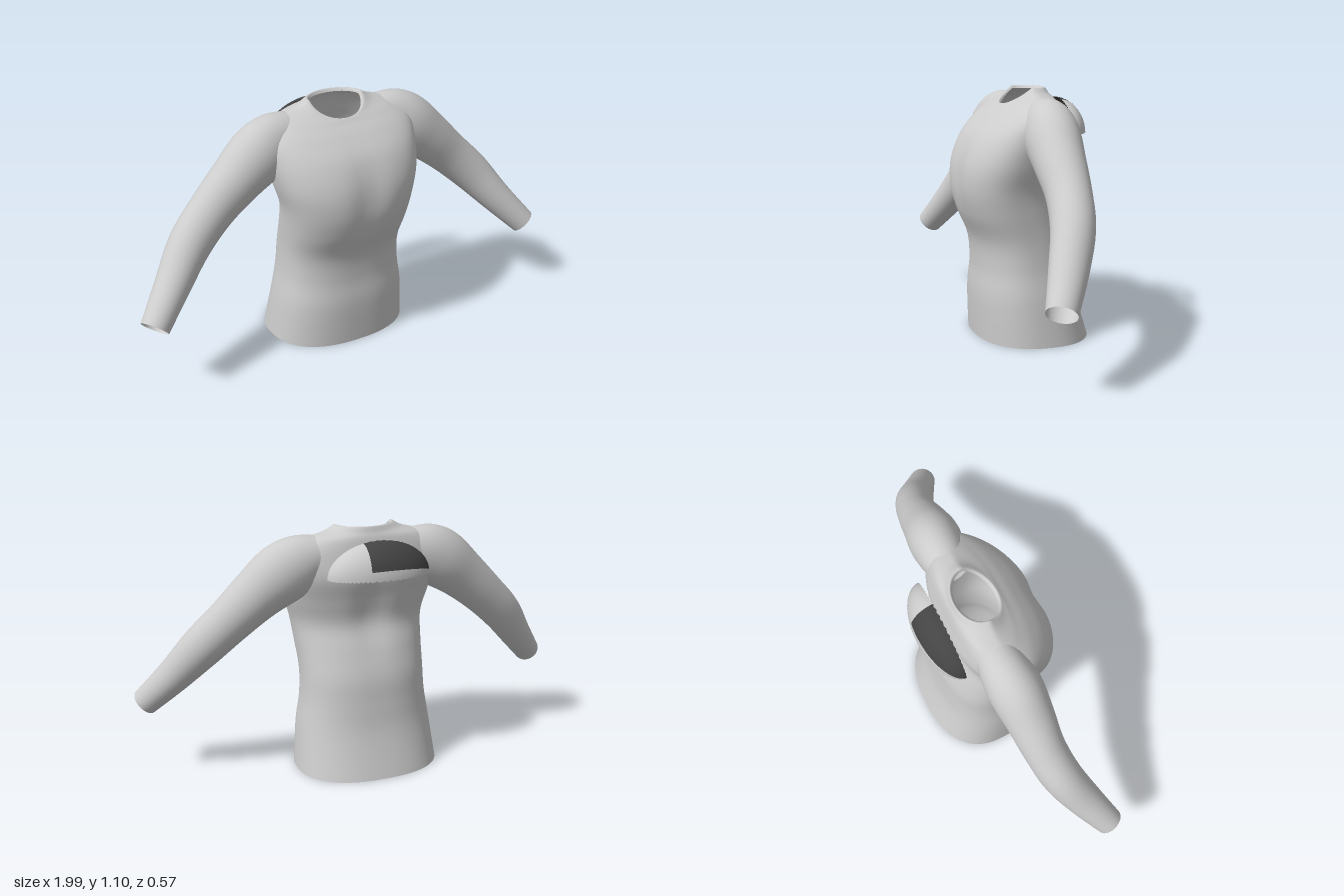
import * as THREE from 'three';

const cloth = new THREE.MeshStandardMaterial({ color: 0xcccccc, side: THREE.DoubleSide });
cloth.name = 'light cloth';
const shade = new THREE.MeshStandardMaterial({ color: 0x444444, side: THREE.DoubleSide });
shade.name = 'dark cloth';

// Smooth interpolation through rows of section values
function sample(keys, t) {
  const f = t * (keys.length - 1);
  const i = Math.min(Math.floor(f), keys.length - 2);
  const at = k => keys[Math.max(0, Math.min(keys.length - 1, k))];
  const u = f - i;
  return keys[0].map((_, c) => {
    const [p, a, b, n] = [at(i - 1)[c], at(i)[c], at(i + 1)[c], at(i + 2)[c]];
    return a + 0.5 * u * (b - p + u * (2 * p - 5 * a + 4 * b - n + u * (3 * (a - b) + n - p)));
  });
}

// Surface from a grid of points, optionally closed around each row
function grid(rows, cols, closed, point) {
  const pos = [], index = [];
  const width = closed ? cols : cols + 1;
  for (let i = 0; i <= rows; i++)
    for (let j = 0; j < width; j++) pos.push(...point(i / rows, j / cols));
  for (let i = 0; i < rows; i++)
    for (let j = 0; j < cols; j++) {
      const a = i * width + j, b = i * width + ((j + 1) % width);
      index.push(a, b, b + width, a, b + width, a + width);
    }
  const g = new THREE.BufferGeometry();
  g.setAttribute('position', new THREE.Float32BufferAttribute(pos, 3));
  g.setIndex(index);
  g.computeVertexNormals();
  return g;
}

function add(group, name, geometry, material) {
  const mesh = new THREE.Mesh(geometry, material);
  mesh.name = name;
  group.add(mesh);
}

// Torso rings: y, half width, front z, back z, front drop, squareness
const torsoRings = [
  [0.01, 0.325, 0.21, -0.29, 0, 2.4],
  [0.20, 0.305, 0.215, -0.235, 0, 2.4],
  [0.33, 0.285, 0.205, -0.215, 0, 2.4],
  [0.45, 0.28, 0.215, -0.20, 0, 2.4],
  [0.57, 0.287, 0.265, -0.165, 0, 2.4],
  [0.68, 0.30, 0.29, -0.13, 0, 2.4],
  [0.79, 0.33, 0.28, -0.145, 0, 2.4],
  [0.90, 0.35, 0.23, -0.167, 0, 2.4],
  [0.99, 0.345, 0.155, -0.15, 0.01, 2.4],
  [1.055, 0.27, 0.105, -0.135, 0.035, 2.3],
  [1.085, 0.175, 0.088, -0.122, 0.05, 2.1],
  [1.108, 0.13, 0.08, -0.112, 0.07, 2],
  [1.095, 0.118, 0.07, -0.1, 0.068, 2],
];

function torsoPoint(t, s) {
  const [y, w, zf, zb, drop, n] = sample(torsoRings, t);
  const a = s * Math.PI * 2;
  const power = v => Math.sign(v) * Math.abs(v) ** (2 / n);
  const x = w * power(Math.sin(a));
  let z = (zf + zb) / 2 + (zf - zb) / 2 * power(Math.cos(a));
  // Shallow groove down the middle of chest and back
  const groove = 0.018 * Math.exp(-((x / 0.07) ** 2) - ((y - 0.74) / 0.16) ** 2);
  z -= groove * Math.sign(Math.cos(a));
  return [x, y - drop * Math.max(0, Math.cos(a)), z];
}

// Sleeve sections: centre x, y, z, half height, half depth
const sleeveSections = [
  [0.20, 0.985, -0.035, 0.09, 0.085],
  [0.29, 0.955, -0.03, 0.125, 0.105],
  [0.375, 0.91, -0.02, 0.133, 0.115],
  [0.48, 0.83, -0.01, 0.115, 0.105],
  [0.60, 0.725, 0.0, 0.10, 0.092],
  [0.72, 0.61, 0.03, 0.092, 0.088],
  [0.83, 0.48, 0.09, 0.075, 0.078],
  [0.95, 0.345, 0.165, 0.06, 0.062],
];

function sleeve(side) {
  const centre = t => {
    const [x, y, z] = sample(sleeveSections, t);
    return new THREE.Vector3(side * x, y, z);
  };
  return grid(36, 32, true, (t, s) => {
    const [, , , h, d] = sample(sleeveSections, t);
    const tangent = centre(Math.min(1, t + 0.01)).sub(centre(Math.max(0, t - 0.01))).normalize();
    const up = new THREE.Vector3(-tangent.y * side, tangent.x * side, 0).normalize();
    const across = tangent.clone().cross(up);
    const a = s * Math.PI * 2;
    return centre(t).addScaledVector(up, h * Math.cos(a)).addScaledVector(across, d * Math.sin(a)).toArray();
  });
}

// Piece of the quarter dome behind the shoulders, with ragged open edges
function domePiece(u0, u1, e0, e1) {
  const cols = 28;
  return grid(10, cols, false, (t, s) => {
    const u = u0 + (u1 - u0) * s;
    let e = e0 + (e1 - e0) * t;
    const tooth = Math.round(s * cols) % 2 ? 0.05 : 0;
    if (t === 0 && e0 === 0) e += tooth;
    if (t === 1 && e1 > 1.5) e -= tooth;
    const r = Math.sin(u);
    return [-0.01 + 0.23 * Math.cos(u), 0.91 + 0.15 * r * Math.sin(e), -0.175 - 0.115 * r * Math.cos(e)];
  });
}

export function createModel() {
  const model = new THREE.Group();
  model.name = 'shirt';
  add(model, 'torso', grid(72, 64, true, torsoPoint), cloth);

  for (const side of [1, -1]) {
    const label = side > 0 ? 'left' : 'right';
    add(model, label + 'Sleeve', sleeve(side), cloth);

    // Dark gusset below the armpit
    const gusset = new THREE.Shape([
      [0.36, 0.82], [0.42, 0.79], [0.47, 0.75], [0.51, 0.69], [0.45, 0.715], [0.40, 0.765],
    ].map(([x, y]) => new THREE.Vector2(side * x, y)));
    const plate = new THREE.ShapeGeometry(gusset);
    plate.translate(0, 0, -0.03);
    add(model, label + 'ArmpitGusset', plate, shade);
  }

  // Loose back piece: pale end, pale lower rim, dark upper part
  const split = 1.262, rim = 0.3, top = Math.PI / 2;
  add(model, 'backPieceEnd', domePiece(0, split, 0, top), cloth);
  add(model, 'backPieceRim', domePiece(split, Math.PI, 0, rim), cloth);
  add(model, 'backPieceTop', domePiece(split, Math.PI, rim, top), shade);
  return model;
}
